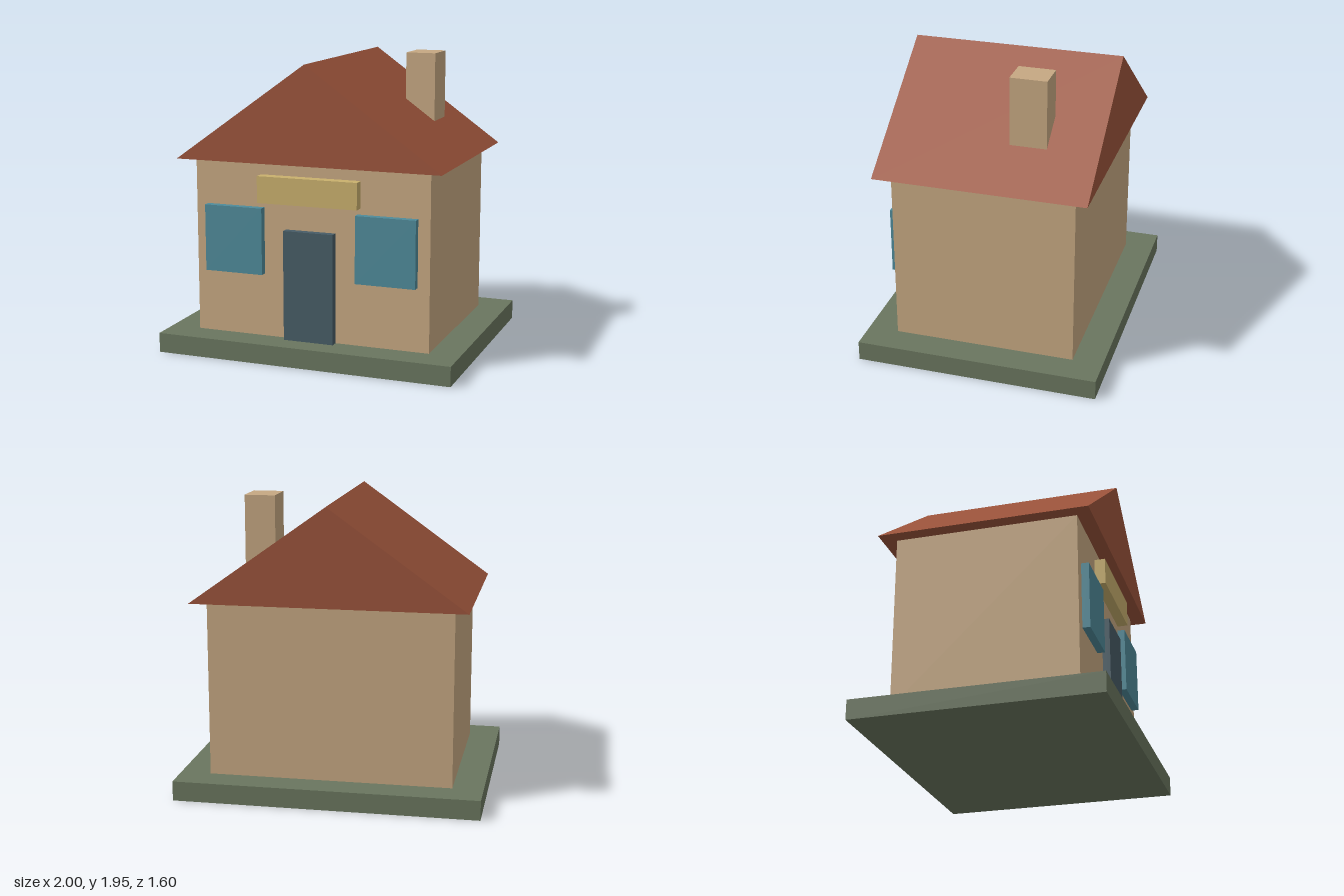
import * as THREE from 'three';

const material = (name, color) => {
  const m = new THREE.MeshStandardMaterial({ color });
  m.name = name;
  return m;
};

export function createModel() {
  const house = new THREE.Group();
  house.name = 'house';

  const green = material('mossGreen', 0x6a765f);
  const tan = material('wallTan', 0xc6a882);
  const red = material('roofRed', 0x9c543b);
  const slate = material('doorSlate', 0x475c66);
  const teal = material('windowTeal', 0x4f8b9a);
  const ochre = material('signOchre', 0xc9b06d);

  // Box given by its lowest and highest corners
  const box = (name, mat, [x0, y0, z0], [x1, y1, z1]) => {
    const mesh = new THREE.Mesh(new THREE.BoxGeometry(x1 - x0, y1 - y0, z1 - z0), mat);
    mesh.position.set((x0 + x1) / 2, (y0 + y1) / 2, (z0 + z1) / 2);
    mesh.name = name;
    house.add(mesh);
  };

  // Plinth and walls
  box('base', green, [-1, 0, -0.8], [1, 0.13, 0.8]);
  box('walls', tan, [-0.8, 0.13, -0.6], [0.8, 1.29, 0.6]);

  // Gabled roof, overhanging on all sides
  const gable = new THREE.Shape([
    new THREE.Vector2(-0.895, 1.29),
    new THREE.Vector2(0.895, 1.29),
    new THREE.Vector2(0, 1.93),
  ]);
  const roofGeometry = new THREE.ExtrudeGeometry(gable, { depth: 1.39, bevelEnabled: false });
  roofGeometry.translate(0, 0, -0.695);
  const roof = new THREE.Mesh(roofGeometry, red);
  roof.name = 'roof';
  house.add(roof);

  // Chimney, sunk into the right-hand slope
  box('chimney', tan, [0.4, 1.4, -0.36], [0.6, 1.95, -0.12]);

  // Front fittings
  box('door', slate, [-0.17, 0.13, 0.6], [0.17, 0.855, 0.65]);
  box('leftWindow', teal, [0.32, 0.55, 0.6], [0.72, 0.99, 0.65]);
  box('rightWindow', teal, [-0.72, 0.55, 0.6], [-0.32, 0.99, 0.65]);
  box('signBoard', ochre, [-0.34, 1.03, 0.6], [0.34, 1.205, 0.67]);

  return house;
}
